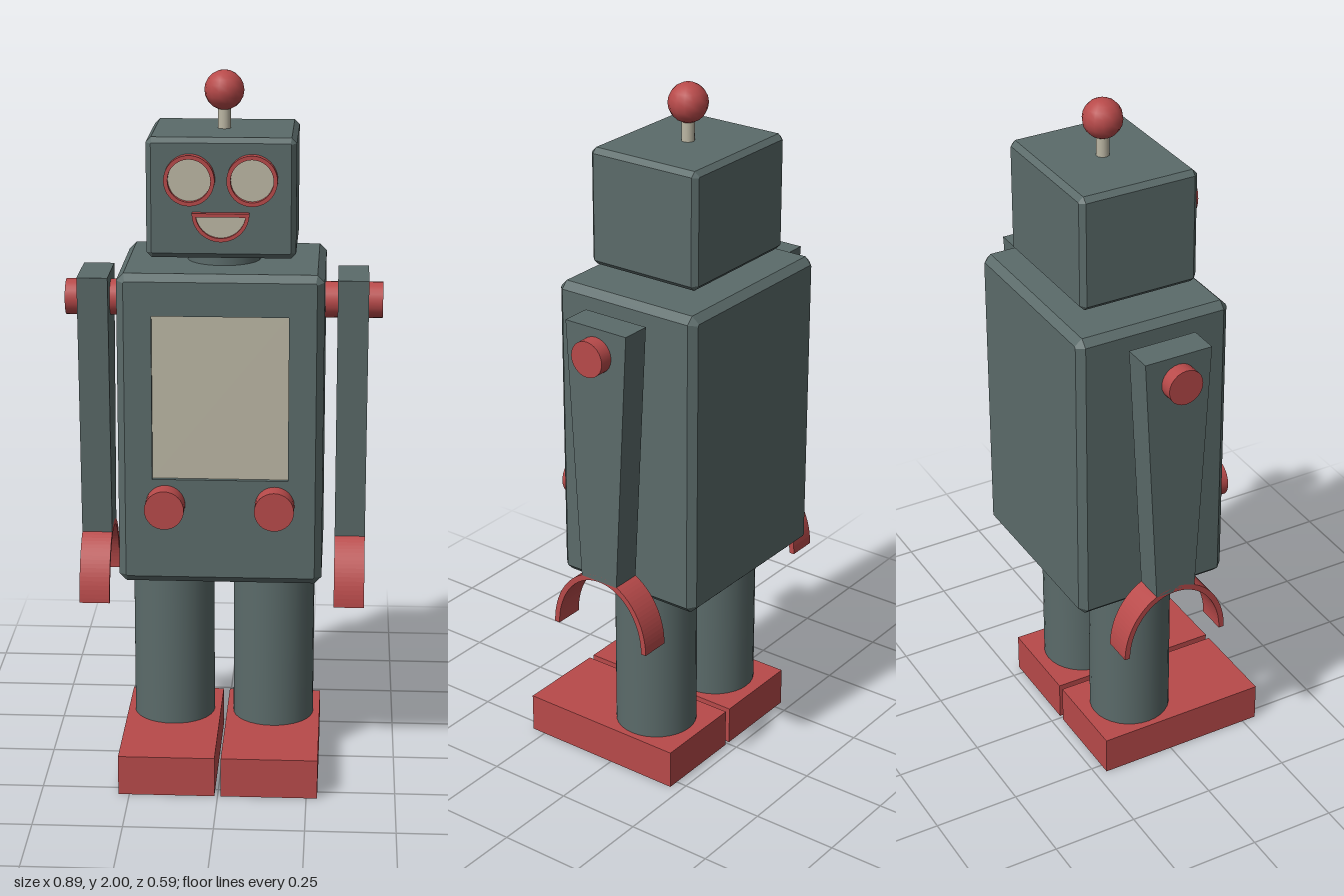
import * as THREE from 'three';

const GREY = new THREE.MeshStandardMaterial({ color: 0x5b6b6a });
const RED = new THREE.MeshStandardMaterial({ color: 0xb84a4a });
const CREAM = new THREE.MeshStandardMaterial({ color: 0xbcb7a4 });
const AXIS_Z = -0.065; // the body, limbs and antenna share this depth

function add(parent, name, geometry, material, x = 0, y = 0, z = 0) {
  const mesh = new THREE.Mesh(geometry, material);
  mesh.name = name;
  mesh.position.set(x, y, z);
  parent.add(mesh);
  return mesh;
}

const box = (w, h, d) => new THREE.BoxGeometry(w, h, d);
const rod = (r, length, sides = 24) => new THREE.CylinderGeometry(r, r, length, sides);
const rodX = (r, length) => rod(r, length).rotateZ(Math.PI / 2);
const rodZ = (r, length) => rod(r, length, 32).rotateX(Math.PI / 2);

function extrude(shape, depth, curveSegments = 24) {
  return new THREE.ExtrudeGeometry(shape, { depth, curveSegments, bevelEnabled: false });
}

// Profile drawn in z and y, extruded along x and centred on x = 0
function extrudeX(shape, width) {
  return extrude(shape, width).translate(0, 0, -width / 2).rotateY(Math.PI / 2);
}

// Flat-sided loft along +z through rectangles with cut corners
// section: [half width, half height, corner cut, z, centre y]
function loft(sections) {
  const rings = sections.map(([w, h, c, z, cy = 0]) => [
    [w, c - h], [w, h - c], [w - c, h], [c - w, h],
    [-w, h - c], [-w, c - h], [c - w, -h], [w - c, -h],
  ].map(([x, y]) => new THREE.Vector3(x, y + cy, z)));
  const points = [];
  const tri = (a, b, c) => {
    if (new THREE.Triangle(a, b, c).getArea() > 1e-7) points.push(a, b, c);
  };
  for (let k = 0; k < rings.length - 1; k++) {
    const [p, q] = [rings[k], rings[k + 1]];
    for (let i = 0; i < 8; i++) {
      const j = (i + 1) % 8;
      tri(p[i], p[j], q[j]);
      tri(p[i], q[j], q[i]);
    }
  }
  const [first, last] = [rings[0], rings[rings.length - 1]];
  for (let i = 1; i < 7; i++) {
    tri(first[0], first[i + 1], first[i]);
    tri(last[0], last[i], last[i + 1]);
  }
  const geometry = new THREE.BufferGeometry().setFromPoints(points);
  geometry.computeVertexNormals();
  return geometry;
}

// Sections of a box with every edge chamfered
const chamfered = (w, h, d, c) => [
  [w - c, h - c, c * 0.2, -d], [w, h, c, c - d], [w, h, c, d - c], [w - c, h - c, c * 0.2, d],
];

function buildHead(robot) {
  const head = new THREE.Group();
  head.name = 'head';
  robot.add(head);
  add(head, 'headBox', loft(chamfered(0.204, 0.165, 0.175, 0.014)), GREY, 0, 1.675, AXIS_Z);
  add(head, 'neck', rod(0.102, 0.06, 32), GREY, 0, 1.49, AXIS_Z);
  add(head, 'antennaRod', rod(0.018, 0.09, 16), CREAM, 0, 1.87, AXIS_Z);
  add(head, 'antennaBall', new THREE.SphereGeometry(0.055, 14, 10), RED, 0, 1.945, AXIS_Z);

  // Eyes: a raised red rim around a sunken disc
  const rim = new THREE.Shape().absarc(0, 0, 0.069, 0, Math.PI * 2);
  rim.holes.push(new THREE.Path().absarc(0, 0, 0.058, 0, Math.PI * 2, true));
  for (const side of [-1, 1]) {
    add(head, 'eyeRim', extrude(rim, 0.032), RED, side * 0.085, 1.728, 0.105);
    add(head, 'eyeDisc', rodZ(0.06, 0.02), CREAM, side * 0.085, 1.728, 0.11);
  }

  // Mouth: half disc, flat side up
  const halfDisc = (r, top) => {
    const a = Math.asin(top / r);
    return new THREE.Shape().absarc(0, 0, r, Math.PI - a, Math.PI * 2 + a).closePath();
  };
  const lips = halfDisc(0.078, 0);
  lips.holes.push(halfDisc(0.068, -0.01));
  add(head, 'mouthRim', extrude(lips, 0.025), RED, 0, 1.638, 0.105);
  add(head, 'mouthFill', extrude(halfDisc(0.07, -0.008), 0.015), CREAM, 0, 1.638, 0.105);
}

function buildTorso(robot) {
  const torso = new THREE.Group();
  torso.name = 'torso';
  robot.add(torso);
  // The front is recessed to take the screen
  const cy = 1.0325;
  const screenY = 1.1275;
  const body = chamfered(0.284, 0.4425, 0.229, 0.02);
  body.push([0.188, 0.2325, 0, 0.229, screenY - cy], [0.188, 0.2325, 0, 0.21, screenY - cy]);
  add(torso, 'torsoBox', loft(body), GREY, 0, cy, AXIS_Z);
  add(torso, 'screen', box(0.376, 0.465, 0.01), CREAM, 0, screenY, 0.145);
  for (const side of [-1, 1]) {
    add(torso, 'knob', rodZ(0.055, 0.07), RED, side * 0.152, 0.823, 0.187);
  }
}

function buildArm(robot, side) {
  const arm = new THREE.Group();
  arm.name = side > 0 ? 'leftArm' : 'rightArm';
  arm.position.set(side * 0.362, 0, AXIS_Z);
  robot.add(arm);

  // Tapered arm
  const taper = new THREE.Shape([[-0.06, 0.68], [0.06, 0.68], [0.1, 1.435], [-0.1, 1.435]]
    .map(([z, y]) => new THREE.Vector2(z, y)));
  add(arm, 'armBar', extrudeX(taper, 0.086), GREY);
  add(arm, 'shoulderPin', rodX(0.051, 0.175), RED, side * -0.005, 1.36, 0);

  // Claw: a thin arch open at the bottom
  const arch = new THREE.Shape().absellipse(0, 0, 0.16, 0.195, 0, Math.PI);
  arch.lineTo(-0.144, 0);
  arch.absellipse(0, 0, 0.144, 0.178, Math.PI, 0, true);
  arch.closePath();
  add(arm, 'claw', extrudeX(arch, 0.086), RED, 0, 0.5, 0);
}

function buildLeg(robot, side) {
  const leg = new THREE.Group();
  leg.name = side > 0 ? 'leftLeg' : 'rightLeg';
  leg.position.x = side * 0.145;
  robot.add(leg);
  add(leg, 'shin', rod(0.117, 0.51, 32), GREY, 0, 0.355, AXIS_Z);
  add(leg, 'foot', box(0.272, 0.115, 0.51), RED, 0, 0.0575, 0.038);
}

export function createModel() {
  const robot = new THREE.Group();
  robot.name = 'toyRobot';
  buildHead(robot);
  buildTorso(robot);
  for (const side of [-1, 1]) {
    buildArm(robot, side);
    buildLeg(robot, side);
  }
  return robot;
}
